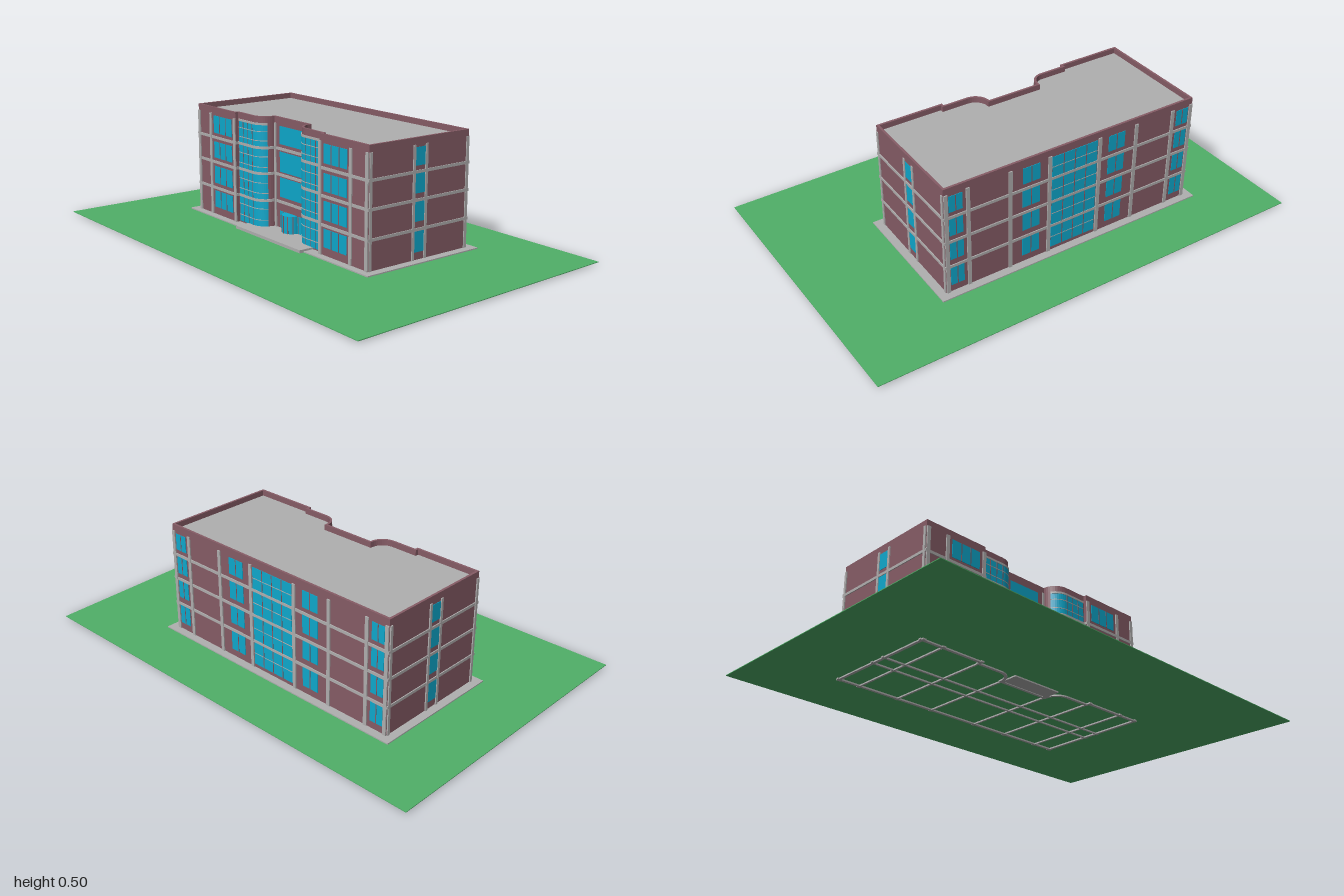
import * as THREE from 'three';

const mat = (name, color) => Object.assign(new THREE.MeshStandardMaterial({ color }), { name });

export function createModel() {
  const model = new THREE.Group();
  const M = {
    brick: mat('brick', 0x865c66),
    trim: mat('pale trim', 0xb0aeae),
    glass: mat('glass', 0x0ea8cc),
    grass: mat('grass', 0x50b068),
    concrete: mat('concrete', 0xb0b0b0),
  };
  const add = (geo, material, name, parent = model) => {
    const mesh = new THREE.Mesh(geo, material);
    mesh.name = name;
    parent.add(mesh);
    return mesh;
  };
  const group = (name) => {
    const g = new THREE.Group();
    g.name = name;
    model.add(g);
    return g;
  };

  // Plan points are [x, z]; a plan is extruded upright from y0 to y1
  const toShape = (pts) => new THREE.Shape(pts.map(([x, z]) => new THREE.Vector2(x, z)));
  const prism = (shape, y0, y1) =>
    new THREE.ExtrudeGeometry(shape, { depth: y1 - y0, bevelEnabled: false })
      .rotateX(Math.PI / 2).translate(0, y1, 0);

  // Mitred offset of a plan path, outward for positive d
  const offset = (pts, d, closed) => pts.map((p, i) => {
    const n = pts.length;
    const dir = (a, b) => new THREE.Vector2(b[0] - a[0], b[1] - a[1]).normalize();
    const before = closed || i > 0 ? dir(pts[(i + n - 1) % n], p) : null;
    const after = closed || i < n - 1 ? dir(p, pts[(i + 1) % n]) : null;
    const a = before || after, b = after || before;
    const n1 = new THREE.Vector2(a.y, -a.x), n2 = new THREE.Vector2(b.y, -b.x);
    const k = d / (1 + n1.dot(n2));
    return [p[0] + (n1.x + n2.x) * k, p[1] + (n1.y + n2.y) * k];
  });
  const ring = (pts, dOut, dIn, y0, y1) => {
    const shape = toShape(offset(pts, dOut, true));
    shape.holes.push(toShape(offset(pts, dIn, true)));
    return prism(shape, y0, y1);
  };
  const plate = (pts, y0, y1, d) => prism(toShape([...pts, ...offset(pts, d, false).reverse()]), y0, y1);

  // Footprint, symmetric about x = -0.08, with rounded corners beside the entrance recess
  const CX = -0.08;
  const mirror = (pts) => pts.map(([x, z]) => [2 * CX - x, z]).reverse();
  const arc = (maxDeg, steps) => Array.from({ length: steps + 1 }, (_, i) => {
    const t = (maxDeg * i / steps) * Math.PI / 180;
    return [-0.265 + 0.067 * Math.sin(t), 0.075 + 0.067 * Math.cos(t)];
  });
  const leftFront = [...arc(90, 10).reverse(), [-0.375, 0.142], [-0.375, 0.157], [-0.674, 0.157], [-0.674, -0.365]];
  const footprint = [...mirror(leftFront), ...leftFront];

  // Site
  add(prism(toShape([[-1, -0.645], [0.96, -0.65], [1, 0.615], [-1, 0.645]]), 0.006, 0.009), M.grass, 'lawn');
  add(prism(toShape([[-0.71, -0.4], [0.55, -0.4], [0.55, 0.19], [-0.71, 0.19]]), 0.009, 0.014), M.concrete, 'pavement');
  add(prism(toShape([[-0.305, 0.075], [0.155, 0.075], [0.155, 0.21], [-0.305, 0.21]]), 0.009, 0.022), M.concrete, 'entrance step');

  // Foundations showing under the lawn
  const foundations = group('foundations');
  add(ring(footprint, 0, -0.012, 0, 0.009), M.concrete, 'outer footing', foundations);
  const footing = (x0, x1, z0, z1) =>
    add(prism(toShape([[x0, z0], [x1, z0], [x1, z1], [x0, z1]]), 0, 0.009), M.concrete, 'inner footing', foundations);
  for (const z of [-0.14, -0.07]) footing(-0.67, 0.51, z - 0.004, z + 0.004);
  for (const x of [-0.57, -0.38, -0.2, 0.04, 0.22, 0.41]) footing(x - 0.004, x + 0.004, -0.36, x > -0.3 && x < 0.1 ? 0.075 : 0.14);
  footing(-0.2, 0.04, 0.08, 0.15);

  // Body, roof and parapet
  add(prism(toShape(footprint), 0.009, 0.478), M.brick, 'walls');
  add(prism(toShape(offset(footprint, -0.01, true)), 0.478, 0.481), M.concrete, 'roof');
  add(ring(footprint, 0, -0.01, 0.478, 0.505), M.brick, 'parapet');

  // Floor bands round the building
  const bands = group('floor bands');
  for (const y of [0.138, 0.257, 0.37])
    add(ring(footprint, 0.004, -0.002, y - 0.006, y + 0.006), M.trim, 'floor band', bands);

  // Straight plates on each side: u runs along x (front, back) or z (ends)
  const wallZ = (x) => {
    const a = Math.abs(x - CX);
    return a < 0.125 ? 0.075 : a < 0.294 ? 0.142 : 0.157;
  };
  const onSide = {
    front: (a, b) => [[b, wallZ((a + b) / 2)], [a, wallZ((a + b) / 2)]],
    back: (a, b) => [[a, -0.365], [b, -0.365]],
    right: (a, b) => [[0.513, a], [0.513, b]],
    left: (a, b) => [[-0.674, b], [-0.674, a]],
  };
  const pilasters = group('pilasters');
  const pilaster = (side, u, w = 0.016) =>
    add(plate(onSide[side](u - w / 2, u + w / 2), 0, 0.477, 0.005), M.trim, 'pilaster', pilasters);
  const half = [0.585, 0.49, 0.302];
  for (const s of [-1, 1]) {
    for (const h of half) for (const side of ['front', 'back']) pilaster(side, CX + s * h);
    pilaster('front', CX + s * 0.111, 0.012);
    pilaster('back', CX + s * 0.12);
  }
  for (const side of ['left', 'right'])
    for (const z of [0.149, -0.071, -0.135, -0.357]) pilaster(side, z, 0.012);

  // Windows with slim mullions
  const windows = group('windows');
  const windowAt = (side, a, b, y0, y1, panes, rails = 0) => {
    add(plate(onSide[side](a, b), y0, y1, 0.002), M.glass, 'window pane', windows);
    for (let i = 1; i < panes; i++) {
      const u = a + (b - a) * i / panes;
      add(plate(onSide[side](u - 0.002, u + 0.002), y0, y1, 0.003), M.brick, 'mullion', windows);
    }
    for (let i = 1; i <= rails; i++) {
      const y = y0 + (y1 - y0) * i / (rails + 1);
      add(plate(onSide[side](a, b), y - 0.0015, y + 0.0015, 0.003), M.trim, 'window rail', windows);
    }
  };
  const frontRows = [[0.048, 0.124], [0.16, 0.238], [0.277, 0.35], [0.39, 0.468]];
  const sideRows = [[0.045, 0.13], [0.17, 0.25], [0.284, 0.363], [0.394, 0.467]];
  for (const s of [-1, 1]) {
    const span = (side, c, w, row, panes) =>
      windowAt(side, CX + s * c - w / 2, CX + s * c + w / 2, row[0], row[1], panes);
    for (const row of frontRows) span('front', 0.396, 0.142, row, 3);
    for (const row of sideRows) {
      span('back', 0.205, 0.08, row, 2);
      span('back', 0.543, 0.06, row, 2);
      windowAt(s < 0 ? 'left' : 'right', -0.129, -0.077, row[0], row[1], 1);
    }
  }
  for (const row of [[0.16, 0.245], [0.27, 0.357], [0.39, 0.468]])
    windowAt('front', CX - 0.08, CX + 0.08, row[0], row[1], 1);
  windowAt('front', CX - 0.08, CX + 0.08, 0.022, 0.097, 6);
  for (const row of [[0.03, 0.132], [0.144, 0.251], [0.263, 0.364], [0.376, 0.47]])
    windowAt('back', CX - 0.108, CX + 0.108, row[0], row[1], 4, 1);

  // Curved curtain walls beside the recess
  const curtain = group('curtain walls');
  const curtainLeft = [...arc(62, 8).reverse(), [-0.368, 0.142]];
  for (const path of [curtainLeft, mirror(curtainLeft)]) {
    add(plate(path, 0.02, 0.472, 0.002), M.glass, 'curved glazing', curtain);
    for (const y of [0.05, 0.1, 0.17, 0.215, 0.285, 0.33, 0.4, 0.44])
      add(plate(path, y - 0.0015, y + 0.0015, 0.0035), M.trim, 'curved rail', curtain);
    add(plate(path, 0.468, 0.477, 0.004), M.trim, 'head band', curtain);
    for (const x of [-0.335, -0.3, -0.267]) {
      const u = path === curtainLeft ? x : 2 * CX - x;
      add(plate(onSide.front(u - 0.0015, u + 0.0015), 0.02, 0.472, 0.003), M.brick, 'curtain mullion', curtain);
    }
  }

  // Half-round glazed porch
  const porch = group('entrance porch');
  const porchGlass = new THREE.CylinderGeometry(0.042, 0.042, 0.076, 20, 1, false, -Math.PI / 2, Math.PI);
  add(porchGlass.translate(CX, 0.06, 0.075), M.glass, 'porch glazing', porch);
  for (let i = 0; i <= 6; i++) {
    const t = -Math.PI / 2 + Math.PI * i / 6;
    const post = add(new THREE.BoxGeometry(0.004, 0.076, 0.004), M.brick, 'porch post', porch);
    post.position.set(CX + 0.042 * Math.sin(t), 0.0595, 0.075 + 0.042 * Math.cos(t));
    post.rotation.y = t;
  }
  return model;
}
